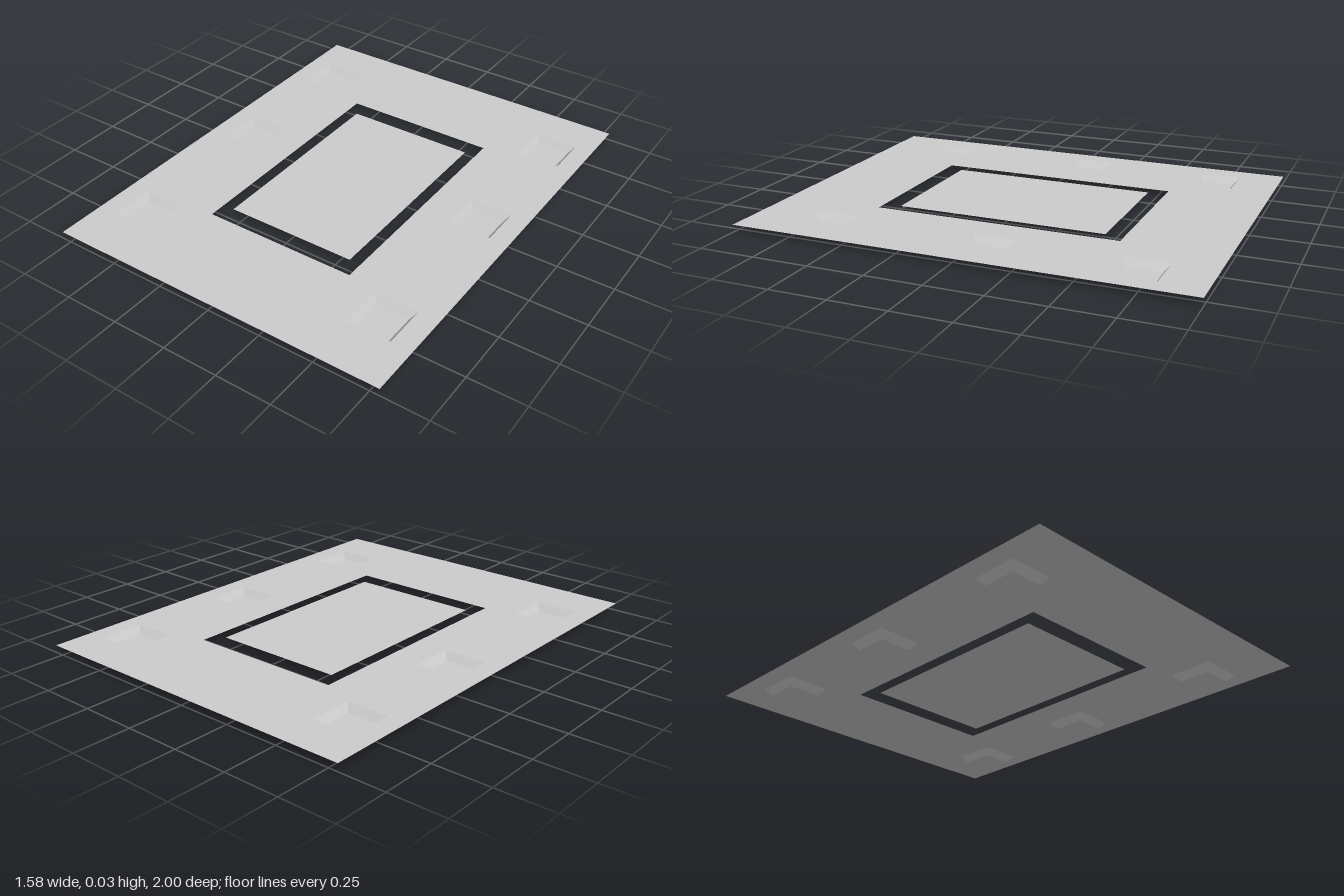
import * as THREE from 'three';

const TOP = 0.033; // height of the sheet above the pocket floors

// Rectangle outline in plan: x0..x1, z0..z1 (shape y is -z)
function rect(Type, x0, x1, z0, z1) {
  const p = new Type();
  p.moveTo(x0, -z0);
  p.lineTo(x0, -z1);
  p.lineTo(x1, -z1);
  p.lineTo(x1, -z0);
  p.closePath();
  return p;
}

// Flat upward-facing sheet from a plan shape
function sheet(name, shape, y, material) {
  const geometry = new THREE.ShapeGeometry(shape).rotateX(-Math.PI / 2);
  const mesh = new THREE.Mesh(geometry, material);
  mesh.name = name;
  mesh.position.y = y;
  return mesh;
}

// Four sloping walls between a rim rectangle and a smaller floor rectangle
function pocketWalls(x0, x1, z0, z1, inset, material) {
  const ring = (d, y) => [
    [x0 + d, y, z0 + d], [x0 + d, y, z1 - d], [x1 - d, y, z1 - d], [x1 - d, y, z0 + d],
  ];
  const rim = ring(0, TOP), floor = ring(inset, 0), pos = [];
  for (let i = 0; i < 4; i++) {
    const j = (i + 1) % 4;
    pos.push(...rim[i], ...floor[i], ...floor[j], ...rim[i], ...floor[j], ...rim[j]);
  }
  const geometry = new THREE.BufferGeometry();
  geometry.setAttribute('position', new THREE.Float32BufferAttribute(pos, 3));
  geometry.computeVertexNormals();
  const mesh = new THREE.Mesh(geometry, material);
  mesh.name = 'pocketWalls';
  return mesh;
}

export function createModel() {
  const model = new THREE.Group();
  model.name = 'pocketedSheet';
  const grey = new THREE.MeshStandardMaterial({ color: 0xcccccc, side: THREE.DoubleSide });
  grey.name = 'light grey';

  // Outer sheet with the central window cut out
  const outline = rect(THREE.Shape, -0.792, 0.792, -1, 1);
  outline.holes.push(rect(THREE.Path, -0.357, 0.356, -0.553, 0.552));

  // Three rows of square pockets: left x, right x, back z of each rim
  const rows = [
    [-0.704, 0.51, -0.81],
    [-0.702, 0.507, -0.168],
    [-0.699, 0.499, 0.581],
  ];
  const size = 0.197, inset = 0.026;
  for (const [left, right, z] of rows) {
    for (const x of [left, right]) {
      outline.holes.push(rect(THREE.Path, x, x + size, z, z + size));
      const pocket = new THREE.Group();
      pocket.name = 'pocket';
      const floor = rect(THREE.Shape, x + inset, x + size - inset, z + inset, z + size - inset);
      pocket.add(
        pocketWalls(x, x + size, z, z + size, inset, grey),
        sheet('pocketFloor', floor, 0, grey),
      );
      model.add(pocket);
    }
  }
  model.add(sheet('outerSheet', outline, TOP, grey));

  // Separate panel inside the window
  model.add(sheet('centrePanel', rect(THREE.Shape, -0.304, 0.303, -0.473, 0.473), TOP, grey));
  return model;
}
